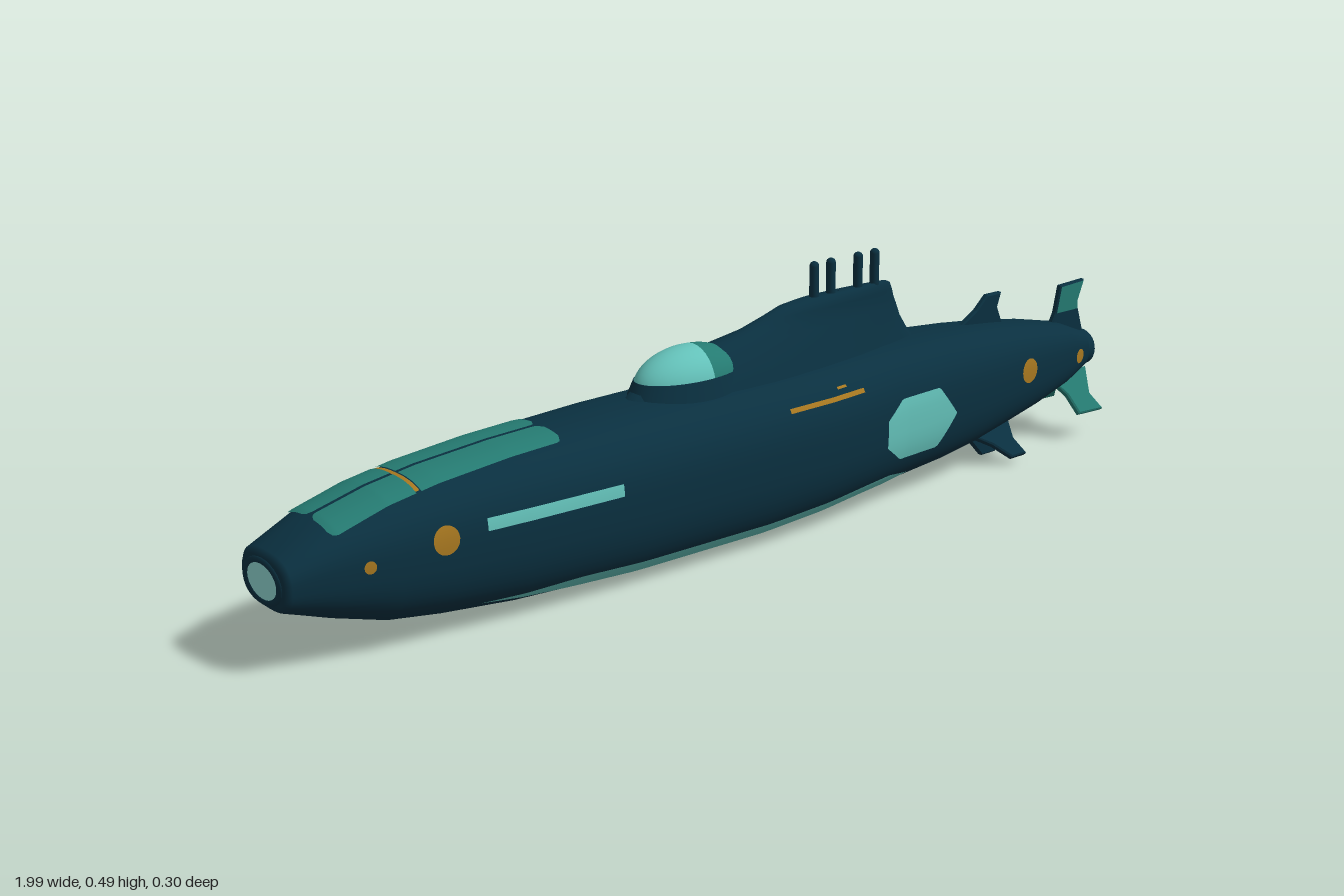
import * as THREE from 'three';

const paint = (name, color) => Object.assign(new THREE.MeshStandardMaterial({ color }), { name });

// Hull stations: x, top y, bottom y, half width
const STATIONS = [
  [-1, 0.175, 0.15, 0.02], [-0.999, 0.205, 0.12, 0.068], [-0.99, 0.215, 0.112, 0.08],
  [-0.9, 0.255, 0.08, 0.1], [-0.8, 0.28, 0.05, 0.116], [-0.7, 0.295, 0.035, 0.124],
  [-0.55, 0.307, 0.02, 0.134], [-0.3, 0.316, 0.008, 0.144], [0, 0.318, 0.008, 0.148],
  [0.15, 0.317, 0.016, 0.145], [0.25, 0.316, 0.024, 0.134], [0.35, 0.315, 0.031, 0.123],
  [0.5, 0.31, 0.043, 0.114], [0.6, 0.302, 0.056, 0.104], [0.7, 0.291, 0.075, 0.091],
  [0.8, 0.275, 0.095, 0.077], [0.9, 0.253, 0.12, 0.058], [0.965, 0.226, 0.145, 0.04],
];
const P = 0.77; // roundness of the hull section

function section(x) {
  let i = 1;
  while (i < STATIONS.length - 1 && x > STATIONS[i][0]) i++;
  const a = STATIONS[i - 1], b = STATIONS[i];
  const k = (x - a[0]) / (b[0] - a[0]);
  const [top, bot, w] = [1, 2, 3].map((j) => a[j] + (b[j] - a[j]) * k);
  const mid = bot + 0.53 * (top - bot);
  return { top, bot, w, mid };
}

// Point on the hull skin at station x and angle t (0 = +z side, PI/2 = top)
function skin(x, t, off = 0) {
  const s = section(x), c = Math.cos(t), n = Math.sin(t);
  const h = n > 0 ? s.top - s.mid : s.mid - s.bot;
  return [
    x,
    s.mid + h * Math.sign(n) * Math.abs(n) ** P + off * n,
    s.w * Math.sign(c) * Math.abs(c) ** P + off * c,
  ];
}

// Angle of the skin at a given height on the side, or a given z on the deck
function angleAtY(x, y) {
  const s = section(x);
  const q = (y - s.mid) / (y > s.mid ? s.top - s.mid : s.mid - s.bot);
  return Math.asin(Math.sign(q) * Math.min(1, Math.abs(q)) ** (1 / P));
}
function angleAtZ(x, z) {
  const q = z / section(x).w;
  return Math.acos(Math.sign(q) * Math.min(1, Math.abs(q)) ** (1 / P));
}

// Surface from a grid of points; wrap joins the last column to the first
function grid(rows, wrap = false) {
  const n = rows[0].length, index = [];
  for (let i = 0; i < rows.length - 1; i++) {
    for (let j = 0; j < (wrap ? n : n - 1); j++) {
      const k = (j + 1) % n;
      const a = i * n + j, b = a + n, c = (i + 1) * n + k, d = i * n + k;
      index.push(a, b, c, a, c, d);
    }
  }
  const g = new THREE.BufferGeometry();
  g.setAttribute('position', new THREE.Float32BufferAttribute(rows.flat(2), 3));
  g.setIndex(index);
  g.computeVertexNormals();
  return g;
}

// Thin painted patch that follows the hull between two angle limits
function patch(x0, x1, limits, nx = 34, nt = 8, off = 0.003) {
  const rows = [];
  for (let i = 0; i <= nx; i++) {
    const x = x0 + ((x1 - x0) * i) / nx, [lo, hi] = limits(x), row = [];
    for (let j = 0; j <= nt; j++) row.push(skin(x, lo + ((hi - lo) * j) / nt, off));
    rows.push(row);
  }
  return grid(rows);
}

export function createModel() {
  const hullPaint = paint('deep sea blue', 0x0a3040);
  const teal = paint('teal', 0x257b72);
  const pale = paint('pale aqua', 0x64c2ba);
  const gold = paint('gold', 0xa87820);
  const sternLens = paint('lens grey', 0x86b4bc);
  const bowLens = paint('bright aqua', 0x92dad6);
  const model = new THREE.Group();
  model.name = 'submarine';
  const add = (name, geometry, material) => {
    const mesh = new THREE.Mesh(geometry, material);
    mesh.name = name;
    model.add(mesh);
    return mesh;
  };

  // Hull
  const SEG = 56;
  add('hull', grid(STATIONS.map(([x]) =>
    Array.from({ length: SEG }, (_, j) => skin(x, (j / SEG) * Math.PI * 2))), true), hullPaint);

  // Bow ring and lens
  const bowRing = add('bowRing', new THREE.TorusGeometry(1.12, 0.22, 8, 28), hullPaint);
  const bowDisc = add('bowLens', new THREE.CircleGeometry(1, 28), bowLens);
  for (const m of [bowRing, bowDisc]) {
    m.rotation.y = -Math.PI / 2;
    m.scale.set(0.047, 0.031, 0.02);
    m.position.set(-0.998, 0.163, 0);
  }
  bowDisc.position.x = -1.0015;

  // Stern shroud: a short tube around a recessed lens
  const tube = [[0.04, 0.96], [0.038, 0.985], [0.034, 0.99], [0.027, 0.985], [0.025, 0.945]];
  const shroud = new THREE.LatheGeometry(tube.map((p) => new THREE.Vector2(...p)), 28);
  shroud.rotateZ(-Math.PI / 2);
  hullPaint.side = THREE.DoubleSide;
  add('sternShroud', shroud, hullPaint).position.y = 0.185;
  const sternDisc = add('sternLens', new THREE.CircleGeometry(0.026, 24), sternLens);
  sternDisc.rotation.y = Math.PI / 2;
  sternDisc.position.set(0.95, 0.185, 0);

  // Side markings, mirrored
  const hexHalf = (x) => 0.061 * Math.min(1, (x - 0.29) / 0.08 + 0.45, (0.492 - x) / 0.05);
  const bar = (y, h) => (x) => [angleAtY(x, y - h), angleAtY(x, y + h)];
  const dot = (cx, cy, r) => (x) => {
    const h = Math.sqrt(Math.max(0, r * r - (x - cx) ** 2));
    return [angleAtY(x, cy - h), angleAtY(x, cy + h)];
  };
  const taper = (x) => Math.min(1, (x + 0.64) / 0.2, (0.38 - x) / 0.06);
  const marks = [
    ['hexHatch', pale, 0.29, 0.492, (x) => bar(0.168, hexHalf(x))(x)],
    ['sideSlot', pale, -0.64, -0.36, bar(0.21, 0.011)],
    ['chineStripe', pale, -0.64, 0.38, (x) => [-0.82 - 0.12 * taper(x), -0.82 + 0.14 * taper(x)]],
    ['goldLine', gold, 0.04, 0.235, bar(0.266, 0.004)],
    ['goldDash', gold, 0.17, 0.195, bar(0.281, 0.002)],
  ];
  for (const [x, y, r] of [[-0.72, 0.2, 0.025], [0.73, 0.2, 0.025], [-0.86, 0.183, 0.011], [0.92, 0.187, 0.015]]) {
    marks.push(['goldSpot', gold, x - r, x + r, dot(x, y, r)]);
  }
  for (const [name, mat, x0, x1, limits] of marks) {
    add(name + 'Left', patch(x0, x1, limits), mat);
    add(name + 'Right', patch(x0, x1, (x) => limits(x).map((t) => Math.PI - t).reverse()), mat);
  }

  // Deck panels with rounded outer ends, and a narrow gold band in the joint
  for (const [x0, x1] of [[-0.91, -0.745], [-0.735, -0.44]]) {
    for (const s of [1, -1]) {
      const edge = (x) => {
        const r = 0.015, d = Math.min(r, x0 < -0.8 ? x - x0 : x1 - x);
        const cut = r - Math.sqrt(Math.max(0, r * r - (r - d) ** 2));
        const z = [0.004 + cut, 0.074 - cut].map((v) => angleAtZ(x, s * v));
        return z.sort((a, b) => a - b);
      };
      add('deckPanel', patch(x0, x1, edge, 40), teal);
    }
  }
  add('deckBand', patch(-0.744, -0.736, (x) => [angleAtZ(x, 0.07), angleAtZ(x, -0.07)], 2, 30, 0.0015), gold);

  // Sail: horizontal teardrop sections (y, front x, rear x, half width)
  const levels = [
    [0.28, -0.28, 0.5, 0.085], [0.325, -0.23, 0.46, 0.068], [0.355, -0.14, 0.44, 0.053],
    [0.38, -0.07, 0.43, 0.04], [0.395, 0.02, 0.423, 0.03], [0.412, 0.08, 0.418, 0.026],
    [0.425, 0.12, 0.412, 0.022], [0.431, 0.16, 0.4, 0.014], [0.431, 0.27, 0.28, 0.001],
  ];
  add('sail', grid(levels.map(([y, a, b, w]) => Array.from({ length: 36 }, (_, j) => {
    const t = (j / 36) * Math.PI * 2, u = (1 - Math.cos(t)) / 2;
    return [a + (b - a) * u, y, -w * Math.sin(t) * (1.2 - 0.55 * u)];
  })), true), hullPaint);

  // Canopy: clear front, tinted middle, solid rear, on a dark coaming
  for (const [name, mat, start, end] of [
    ['canopyGlass', pale, 0, 1.68], ['canopyTint', teal, 1.68, 2.4], ['canopyRear', hullPaint, 2.4, Math.PI],
  ]) {
    const g = new THREE.SphereGeometry(1, 32, 14, 0, Math.PI * 2, start, end - start);
    g.rotateZ(Math.PI / 2);
    g.scale(0.12, 0.07, 0.066);
    g.translate(-0.1, 0.325, 0);
    add(name, g, mat);
  }
  const coaming = add('canopyCoaming', new THREE.CylinderGeometry(0.97, 1.16, 0.045, 36), hullPaint);
  coaming.scale.set(0.121, 1, 0.067);
  coaming.position.set(-0.1, 0.32, 0);

  // Masts
  for (const x of [0.212, 0.255, 0.326, 0.37]) {
    add('mast', new THREE.CapsuleGeometry(0.0095, 0.081, 5, 12), hullPaint).position.set(x, 0.45, 0);
  }

  // Fins: outline in (x, distance from pivot), swung about the long axis
  function fin(name, mat, pts, pivotY, degrees) {
    const g = new THREE.ExtrudeGeometry(new THREE.Shape(pts.map((p) => new THREE.Vector2(...p))), {
      depth: 0.008, bevelEnabled: true, bevelSize: 0.003, bevelThickness: 0.003, bevelSegments: 1,
    });
    g.translate(0, 0, -0.004);
    g.rotateX(THREE.MathUtils.degToRad(degrees));
    g.translate(0, pivotY, 0);
    add(name, g, mat);
  }
  const swept = (base, tip) => [
    [0.58, base], [0.73, base], [0.712, base + (tip - base) * 0.6], [0.722, tip],
    [0.685, tip], [0.655, base + (tip - base) * 0.6],
  ];
  const tail = (base, tip) => [
    [0.868, base], [0.978, base], [0.958, base + (tip - base) * 0.6], [0.975, tip],
    [0.91, tip - 0.003], [0.9, base + (tip - base) * 0.5],
  ];
  fin('dorsalFin', hullPaint, swept(0.1, 0.168), 0.18, 0);
  fin('keelFin', hullPaint, swept(0.09, 0.171), 0.18, 180);
  // Upper tail fin: dark root, teal blade with dark edges
  fin('upperTailRoot', hullPaint, [[0.868, 0.04], [0.978, 0.04], [0.96, 0.094], [0.896, 0.094]], 0.18, 0);
  fin('upperTailFin', [teal, hullPaint],
    [[0.896, 0.094], [0.96, 0.094], [0.958, 0.11], [0.975, 0.152], [0.908, 0.149]], 0.18, 0);
  for (const s of [1, -1]) {
    fin('lowerFin', hullPaint, swept(0.03, 0.122), 0.11, 180 + s * 45);
    fin('lowerTailFin', teal, tail(0.025, 0.118), 0.16, 180 + s * 35);
  }
  return model;
}
